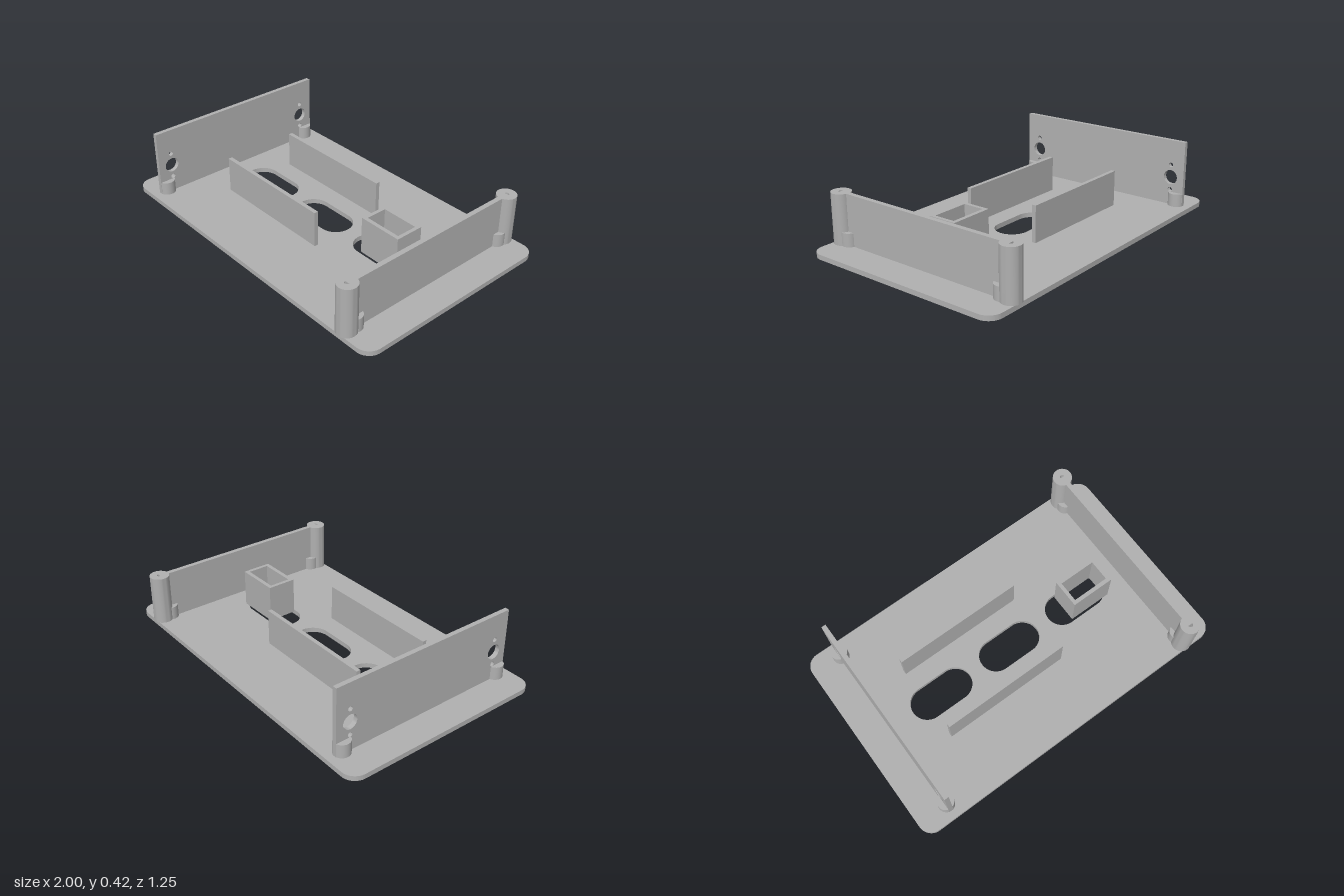
import * as THREE from 'three';
import { toCreasedNormals } from 'three/addons/utils/BufferGeometryUtils.js';

const BASE = 0.028; // top of the base plate

// Outline of a rounded rectangle; works for Shape and Path
function roundedRect(path, cx, cy, w, h, r) {
  const x = cx - w / 2, y = cy - h / 2, P = Math.PI;
  path.moveTo(x + r, y);
  path.lineTo(x + w - r, y);
  path.absarc(x + w - r, y + r, r, -P / 2, 0, false);
  path.lineTo(x + w, y + h - r);
  path.absarc(x + w - r, y + h - r, r, 0, P / 2, false);
  path.lineTo(x + r, y + h);
  path.absarc(x + r, y + h - r, r, P / 2, P, false);
  path.lineTo(x, y + r);
  path.absarc(x + r, y + r, r, P, P * 1.5, false);
  return path;
}

function rect(path, w, h) {
  path.moveTo(-w / 2, -h / 2);
  path.lineTo(w / 2, -h / 2);
  path.lineTo(w / 2, h / 2);
  path.lineTo(-w / 2, h / 2);
  path.closePath();
  return path;
}

const circle = (path, x, y, r) => path.absarc(x, y, r, 0, Math.PI * 2, false);

function extrude(shape, depth) {
  const geo = new THREE.ExtrudeGeometry(shape, { depth, bevelEnabled: false, curveSegments: 20 });
  return toCreasedNormals(geo, 0.6);
}

// Extrude a ground-plan shape upwards
const extrudeUp = (shape, height) => extrude(shape, height).rotateX(-Math.PI / 2);

export function createModel() {
  const group = new THREE.Group();
  const grey = new THREE.MeshStandardMaterial({ color: 0xb0b0b0 });
  grey.name = 'grey plastic';

  function add(name, geo, x = 0, y = BASE, z = 0) {
    const mesh = new THREE.Mesh(geo, grey);
    mesh.name = name;
    mesh.position.set(x, y, z);
    group.add(mesh);
    return mesh;
  }

  // Rounded base plate with three oblong slots
  const plate = roundedRect(new THREE.Shape(), 0, 0, 2, 1.23, 0.08);
  for (const x of [-0.478, -0.002, 0.473]) {
    plate.holes.push(roundedRect(new THREE.Path(), x, 0, 0.384, 0.196, 0.0979));
  }
  add('basePlate', extrudeUp(plate, BASE), 0, 0, 0);

  // Tall end wall with a large hole between two small ones at each end
  const wall = new THREE.Shape();
  wall.moveTo(-0.57, BASE);
  wall.lineTo(0.57, BASE);
  wall.lineTo(0.57, 0.42);
  wall.lineTo(-0.57, 0.42);
  wall.closePath();
  for (const s of [-1, 1]) {
    for (const [y, r] of [[0.12, 0.014], [0.195, 0.043], [0.27, 0.014]]) {
      wall.holes.push(circle(new THREE.Path(), s * 0.485, y, r));
    }
  }
  add('tallEndWall', extrude(wall, 0.026).rotateY(Math.PI / 2), -0.825, 0, 0);

  // Lower end wall between the screw posts
  const lowHeight = 0.315 - BASE;
  add('lowEndWall', new THREE.BoxGeometry(0.028, lowHeight, 1.14), 0.805, BASE + lowHeight / 2);

  // Screw posts and short support pegs
  const post = circle(new THREE.Shape(), 0, 0, 0.056);
  post.holes.push(circle(new THREE.Path(), 0, 0, 0.014));
  const postGeo = extrudeUp(post, lowHeight);
  const pegHeight = 0.105 - BASE;
  const pegGeo = new THREE.CylinderGeometry(0.047, 0.047, pegHeight, 40);
  for (const s of [-1, 1]) {
    add('screwPost', postGeo, 0.805, BASE, s * 0.57);
    for (const x of [-0.812, 0.805]) add('supportPeg', pegGeo, x, BASE + pegHeight / 2, s * 0.523);
  }

  // Pair of long inner rails
  const railHeight = 0.24 - BASE;
  const railGeo = new THREE.BoxGeometry(0.764, railHeight, 0.024);
  for (const s of [-1, 1]) add('innerRail', railGeo, -0.193, BASE + railHeight / 2, s * 0.226);

  // Open rectangular sleeve over the slot
  const sleeve = rect(new THREE.Shape(), 0.262, 0.17);
  sleeve.holes.push(rect(new THREE.Path(), 0.22, 0.124));
  add('sleeve', extrudeUp(sleeve, 0.245 - BASE), 0.521, BASE, 0);

  return group;
}
